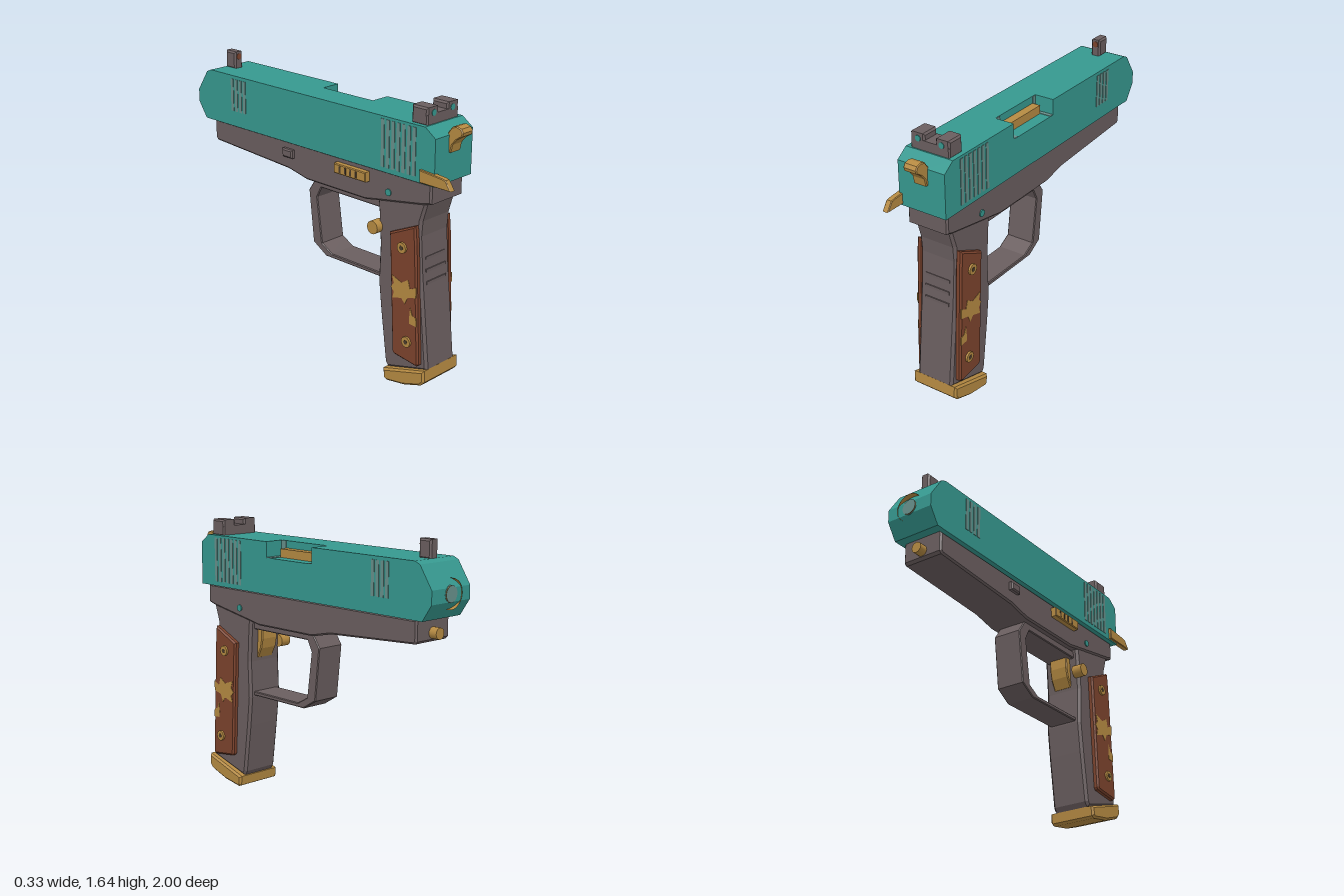
import * as THREE from 'three';

const mat = (name, color) => {
  const m = new THREE.MeshStandardMaterial({ color });
  m.name = name;
  return m;
};

export function createModel() {
  const root = new THREE.Group();
  root.name = 'pistol';
  const teal = mat('teal', 0x36988f);
  const worn = mat('wornTeal', 0x678f8a);
  const grey = mat('gunmetal', 0x6a5e5f);
  const gold = mat('brass', 0xb58a42);
  const wood = mat('wood', 0x7c432d);
  const dark = mat('darkRecess', 0x4a3b2a);

  const add = (name, geo, m) => {
    const mesh = new THREE.Mesh(geo, m);
    mesh.name = name;
    root.add(mesh);
    return mesh;
  };
  // Side profile of [z, y] points, extruded from x0 to x1
  const prism = (name, pts, x0, x1, m, b = 0) => {
    const shape = new THREE.Shape(pts.map(([z, y]) => new THREE.Vector2(z, y)));
    const geo = new THREE.ExtrudeGeometry(shape, {
      depth: x1 - x0 - 2 * b, bevelEnabled: b > 0, bevelThickness: b,
      bevelSize: b, bevelOffset: -b, bevelSegments: 1,
    });
    geo.rotateY(-Math.PI / 2).translate(x1 - b, 0, 0);
    return add(name, geo, m);
  };
  // Box given by its limits
  const box = (name, x0, x1, y0, y1, z0, z1, m, b = 0) =>
    prism(name, [[z0, y0], [z1, y0], [z1, y1], [z0, y1]], x0, x1, m, b);
  // Cylinder along x or z
  const rod = (name, axis, r, len, x, y, z, m, sides = 16) => {
    const geo = new THREE.CylinderGeometry(r, r, len, sides);
    if (axis === 'x') geo.rotateZ(Math.PI / 2);
    else geo.rotateX(Math.PI / 2);
    return add(name, geo.translate(x, y, z), m);
  };

  // Slide: plain left portion, right portion notched for the ejection port
  const nose = [[-0.87, 1.545], [-0.905, 1.53], [-0.988, 1.405], [-0.988, 1.33], [-0.925, 1.237]];
  const tail = [[0.88, 1.237], [0.88, 1.495], [0.81, 1.545]];
  prism('slideLeft', [...tail, ...nose], -0.15, 0.03, teal);
  prism('slideRight', [...tail, [0.28, 1.545], [0.28, 1.452], [-0.1, 1.452], [-0.1, 1.545], ...nose], 0.03, 0.15, teal);
  box('chamber', 0.03, 0.08, 1.452, 1.502, -0.075, 0.235, gold);
  for (const [a, b] of [[0.24, 0.279], [-0.099, -0.075]]) {
    box('portWall', 0.03, 0.034, 1.453, 1.544, a, b, worn);
    box('portFloor', 0.034, 0.149, 1.452, 1.455, a, b, worn);
  }

  // Grip serrations on both sides of the slide
  for (const s of [-1, 1]) {
    const x0 = s > 0 ? 0.148 : -0.153;
    for (let i = 0; i < 7; i++) {
      const z = 0.74 - i * 0.0365;
      box('rearSerration', x0, x0 + 0.005, 1.265, 1.53, z - 0.011, z + 0.011, worn);
    }
    for (let i = 0; i < 4; i++) {
      const z = -0.573 - i * 0.035;
      box('frontSerration', x0, x0 + 0.005, 1.33, 1.525, z - 0.011, z + 0.011, worn);
    }
  }

  // Muzzle ring, bore and guide rod
  const ring = [[0.045, 0], [0.045, 0.045], [0.055, 0.05], [0.074, 0.05], [0.083, 0.042], [0.083, 0]];
  const muzzle = new THREE.LatheGeometry(ring.map(([r, h]) => new THREE.Vector2(r, h)), 28);
  add('muzzleRing', muzzle.rotateX(-Math.PI / 2).translate(0, 1.372, -0.95), gold);
  rod('bore', 'z', 0.047, 0.02, 0, 1.372, -0.98, worn, 24);
  rod('guideRod', 'z', 0.032, 0.1, 0, 1.155, -0.87, gold);

  // Frame, grip and trigger guard
  prism('frame', [[0.845, 1.237], [0.845, 1.125], [0.8, 1.112], [0.46, 1.053], [0.38, 1.038],
    [-0.08, 1.038], [-0.23, 1.07], [-0.855, 1.105], [-0.87, 1.12], [-0.87, 1.237]], -0.13, 0.13, grey, 0.01);
  prism('grip', [[0.81, 1.13], [0.775, 1.01], [0.768, 0.92], [0.782, 0.72], [0.842, 0.15], [0.55, 0.07],
    [0.53, 0.1], [0.49, 0.4], [0.47, 0.58], [0.478, 0.8], [0.465, 1], [0.455, 1.1]], -0.12, 0.12, grey, 0.015);
  prism('triggerGuard', [[0.47, 1.045], [-0.045, 1.045], [-0.1, 0.965], [-0.065, 0.65], [0.035, 0.59],
    [0.49, 0.59], [0.49, 0.615], [0.085, 0.615], [0.005, 0.66], [-0.033, 0.935], [0, 1], [0.47, 1]],
  -0.09, 0.09, grey, 0.005);
  prism('basePlate', [[0.842, 0.158], [0.846, 0.09], [0.82, 0.062], [0.7, 0.022], [0.57, 0.002],
    [0.548, 0.012], [0.542, 0.07]], -0.15, 0.15, gold, 0.012);
  for (let i = 0; i < 3; i++) {
    const y = 0.79 - i * 0.07, z = 0.775 + i * 0.0075;
    box('backstrapRidge', -0.08, 0.08, y - 0.009, y + 0.009, z - 0.02, z + 0.005, grey);
  }

  // Trigger
  prism('trigger', [[0.428, 1.01], [0.428, 0.94], [0.442, 0.88], [0.475, 0.82], [0.49, 0.815], [0.49, 1.01]],
    -0.06, 0.06, gold, 0.006);

  // Grip panels with worn brass patches and screws
  const panel = [[0.757, 0.988], [0.575, 0.905], [0.578, 0.87], [0.61, 0.205], [0.62, 0.19], [0.785, 0.168],
    [0.802, 0.18], [0.768, 0.88]];
  const patch = [[0.778, 0.64], [0.735, 0.62], [0.72, 0.67], [0.675, 0.64], [0.605, 0.665], [0.62, 0.62],
    [0.597, 0.595], [0.62, 0.57], [0.61, 0.53], [0.675, 0.55], [0.7, 0.52], [0.72, 0.565], [0.778, 0.58]];
  const chip = [[0.74, 0.51], [0.735, 0.455], [0.737, 0.415], [0.785, 0.41], [0.782, 0.46], [0.755, 0.47]];
  for (const s of [-1, 1]) {
    const span = (a, b) => (s > 0 ? [a, b] : [-b, -a]);
    prism('gripPanel', panel, ...span(0.11, 0.15), wood, 0.01);
    prism('brassPatch', patch, ...span(0.146, 0.152), gold);
    prism('brassChip', chip, ...span(0.146, 0.152), gold);
    for (const [z, y] of [[0.675, 0.845], [0.72, 0.3]]) {
      rod('screw', 'x', 0.031, 0.03, s * 0.147, y, z, gold);
      rod('screwSocket', 'x', 0.014, 0.004, s * 0.1615, y, z, dark, 6);
    }
    rod('framePin', 'x', 0.02, 0.02, s * 0.126, 1.122, 0.55, teal);
  }

  // Controls on the left side
  prism('safetyLever', [[0.79, 1.245], [1, 1.245], [0.965, 1.298], [0.94, 1.303], [0.88, 1.308], [0.79, 1.315]],
    -0.166, -0.13, gold, 0.004);
  box('slideStop', -0.165, -0.12, 1.15, 1.207, 0.17, 0.41, gold, 0.005);
  for (let i = 0; i < 4; i++) {
    const z = 0.22 + i * 0.04;
    box('slideStopGroove', -0.167, -0.16, 1.16, 1.197, z - 0.006, z + 0.006, dark);
  }
  box('takedownLatch', -0.155, -0.12, 1.145, 1.195, -0.255, -0.175, grey, 0.008);
  rod('magazineRelease', 'x', 0.038, 0.065, -0.131, 0.905, 0.465, gold);

  // Hammer
  prism('hammer', [[0.84, 1.4], [0.89, 1.4], [0.9, 1.445], [0.925, 1.475], [0.962, 1.5], [0.968, 1.52],
    [0.955, 1.54], [0.925, 1.549], [0.895, 1.54], [0.87, 1.505], [0.84, 1.46]], -0.042, 0.042, gold, 0.005);

  // Sights
  box('rearSightBase', -0.125, 0.125, 1.54, 1.6, 0.695, 0.802, grey, 0.008);
  for (const s of [-1, 1]) {
    const [a, b] = s > 0 ? [0.035, 0.125] : [-0.125, -0.035];
    box('rearSightPost', a, b, 1.56, 1.637, 0.695, 0.802, grey, 0.01);
    rod('rearSightDot', 'z', 0.017, 0.006, s * 0.075, 1.605, 0.802, teal);
  }
  box('frontSight', -0.03, 0.03, 1.54, 1.645, -0.87, -0.785, grey, 0.01);
  rod('frontSightDot', 'z', 0.018, 0.006, 0, 1.615, -0.785, wood);

  return root;
}
